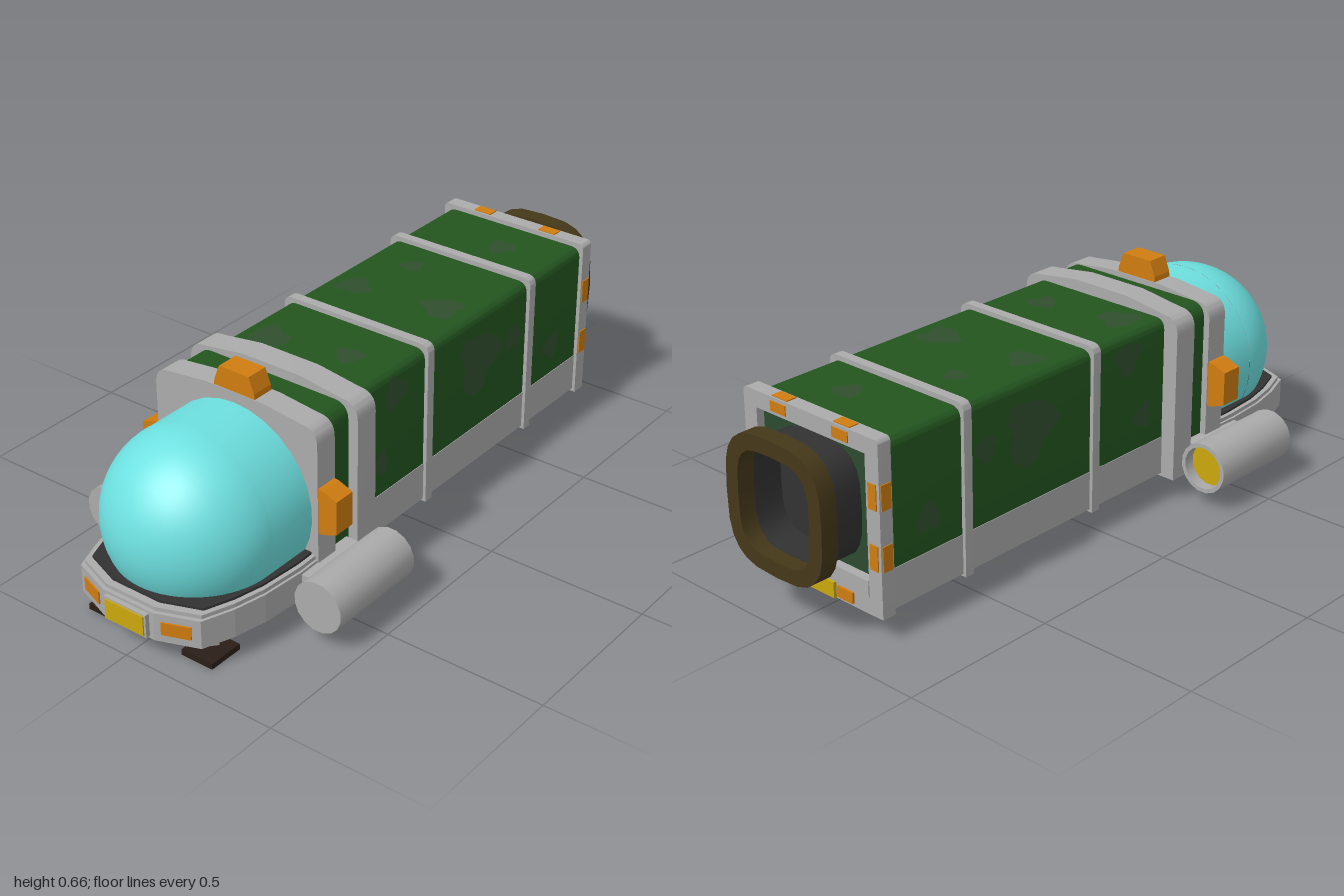
import * as THREE from 'three';
import { toCreasedNormals } from 'three/addons/utils/BufferGeometryUtils.js';

const mat = (name, color, side = THREE.FrontSide) => {
  const m = new THREE.MeshStandardMaterial({ color, side });
  m.name = name;
  return m;
};

export function createModel() {
  const grey = mat('hull grey', 0xababab);
  const green = mat('cabin green', 0x23551f);
  const blotch = mat('camouflage patch', 0x304f2d, THREE.DoubleSide);
  const panelGreen = mat('rear panel green', 0x2b4a2f);
  const cyan = mat('canopy cyan', 0x6ee0e0);
  const orange = mat('lamp orange', 0xd07c10);
  const yellow = mat('lamp yellow', 0xcca80e);
  const brown = mat('rim brown', 0x453819);
  const dark = mat('duct dark', 0x323232);
  const foot = mat('foot brown', 0x2a1f17);

  const model = new THREE.Group();
  const add = (name, geo, material, x = 0, y = 0, z = 0) => {
    const m = new THREE.Mesh(geo, material);
    m.name = name;
    m.position.set(x, y, z);
    model.add(m);
    return m;
  };
  // box from minimum and maximum corners
  const box = (name, material, x0, x1, y0, y1, z0, z1) =>
    add(name, new THREE.BoxGeometry(x1 - x0, y1 - y0, z1 - z0), material,
      (x0 + x1) / 2, (y0 + y1) / 2, (z0 + z1) / 2);
  // cross-section in (z, y) swept along x
  const sweep = (name, material, shape, x0, x1) => {
    const g = new THREE.ExtrudeGeometry(shape, { depth: x1 - x0, bevelEnabled: false, curveSegments: 10 });
    g.rotateY(Math.PI / 2).translate(x0, 0, 0);
    return add(name, toCreasedNormals(g, 0.6), material);
  };
  // straight-sided section with rounded shoulders and an optional raised crown
  const section = (w, y0, y1, r, crown = 0) => {
    const s = new THREE.Shape();
    const top = y1 - crown;
    s.moveTo(-w, y0);
    s.lineTo(w, y0);
    s.lineTo(w, top - r);
    s.quadraticCurveTo(w, top, w - r, top);
    if (crown) { s.lineTo(0.1, y1); s.lineTo(-0.1, y1); }
    s.lineTo(-w + r, top);
    s.quadraticCurveTo(-w, top, -w, top - r);
    s.closePath();
    return s;
  };

  // cabin
  sweep('cabin', green, section(0.248, 0.19, 0.575, 0.035), -0.32, 0.83);
  box('cabinBase', grey, -0.32, 0.83, 0.08, 0.2, -0.25, 0.25);
  sweep('neck', green, section(0.265, 0.085, 0.58, 0.05), -0.47, -0.36);
  sweep('neckCollar', grey, section(0.297, 0.07, 0.61, 0.055, 0.02), -0.37, -0.29);
  sweep('canopyFrame', grey, section(0.285, 0.075, 0.597, 0.055, 0.015), -0.53, -0.455);
  for (const x of [0.005, 0.525]) sweep('rib', grey, section(0.26, 0.072, 0.59, 0.03), x, x + 0.03);

  // camouflage patches: irregular thin discs on the sides and roof
  const patch = (r, seed) => {
    const s = new THREE.Shape();
    for (let i = 0; i < 14; i++) {
      const a = (i / 14) * Math.PI * 2;
      const k = r * (0.85 + 0.17 * Math.sin(3 * a + seed) + 0.1 * Math.sin(5 * a + 2 * seed));
      if (i) s.lineTo(k * Math.cos(a), k * Math.sin(a));
      else s.moveTo(k * Math.cos(a), k * Math.sin(a));
    }
    return new THREE.ShapeGeometry(s);
  };
  const sidePatches = [[0.28, 0.42, 0.115], [-0.13, 0.5, 0.06], [0.46, 0.42, 0.045], [-0.2, 0.3, 0.045], [0.68, 0.3, 0.05]];
  sidePatches.forEach(([x, y, r], i) => {
    for (const s of [1, -1]) add('sidePatch', patch(r, i + s), blotch, x, y, s * 0.2495);
  });
  [[-0.2, -0.15, 0.07], [0.2, -0.15, 0.06], [0.41, -0.09, 0.04], [0.24, 0.14, 0.07], [-0.15, 0.1, 0.05], [0.68, 0.05, 0.05]]
    .forEach(([x, z, r], i) => { add('roofPatch', patch(r, i), blotch, x, 0.5765, z).rotation.x = -Math.PI / 2; });

  // rear frame and panel
  const rear = section(0.26, 0.07, 0.59, 0.015);
  rear.holes.push(new THREE.Path([[-0.21, 0.17], [-0.21, 0.54], [0.21, 0.54], [0.21, 0.17]]
    .map(p => new THREE.Vector2(...p))));
  sweep('rearFrame', grey, rear, 0.82, 0.865);
  box('rearPanel', panelGreen, 0.825, 0.84, 0.165, 0.545, -0.215, 0.215);
  box('rearSill', grey, 0.83, 0.868, 0.12, 0.17, -0.21, 0.21);
  for (const s of [1, -1]) {
    const z = (a, b) => (s > 0 ? [a, b] : [-b, -a]);
    for (const y of [0.21, 0.388]) {
      box('rearSideLamp', orange, 0.862, 0.868, y, y + 0.075, ...z(0.22, 0.25));
      box('sideLamp', orange, 0.826, 0.86, y, y + 0.075, ...z(0.257, 0.263));
    }
    box('rearTopLamp', orange, 0.862, 0.868, 0.55, 0.58, ...z(0.09, 0.15));
    box('roofLamp', orange, 0.826, 0.86, 0.586, 0.593, ...z(0.09, 0.15));
    box('rearLowLamp', orange, 0.862, 0.872, 0.08, 0.113, ...z(0.09, 0.15));
  }
  box('rearPlate', yellow, 0.862, 0.875, 0.072, 0.12, -0.08, 0.08);

  // docking duct: hollow squarish tube with a thick rim
  const squircle = (Type, w, h, e = 0.62, n = 24) => {
    const f = v => Math.sign(v) * Math.pow(Math.abs(v), e);
    const pts = [];
    for (let i = 0; i < n; i++) {
      const a = (i / n) * Math.PI * 2;
      pts.push(new THREE.Vector2(w * f(Math.cos(a)), 0.355 + h * f(Math.sin(a))));
    }
    return new Type(pts);
  };
  const hollow = (w, h, wi, hi) => {
    const s = squircle(THREE.Shape, w, h);
    s.holes.push(squircle(THREE.Path, wi, hi, 0.55));
    return s;
  };
  sweep('duct', dark, hollow(0.165, 0.17, 0.142, 0.152), 0.84, 0.95);
  sweep('ductBack', dark, squircle(THREE.Shape, 0.15, 0.16), 0.84, 0.85);
  sweep('ductRim', brown, hollow(0.187, 0.2, 0.14, 0.153), 0.945, 1.0);

  // canopy: half ball continued by a straight barrel, cut flat below
  const R = 0.265, cy = 0.3, drop = 0.12;
  add('canopyNose', new THREE.SphereGeometry(R, 32, 24, -Math.PI / 2, Math.PI, 0, Math.acos(-drop / R)), cyan, -0.695, cy, 0);
  const cut = Math.asin(drop / R);
  const barrel = new THREE.Shape();
  barrel.absarc(0, cy, R, -cut, Math.PI + cut, false);
  barrel.closePath();
  const barrelMesh = sweep('canopyBarrel', cyan, barrel, -0.695, -0.525);
  barrelMesh.geometry = toCreasedNormals(barrelMesh.geometry, 0.7);

  // nose deck with a hollow underside
  const half = [[-0.46, 0.28], [-0.6, 0.283], [-0.74, 0.272], [-0.84, 0.25], [-0.935, 0.215], [-0.982, 0.09]];
  const outline = (Type, k) => new Type([...half, ...half.map(([x, z]) => [x, -z]).reverse()]
    .map(([x, z]) => new THREE.Vector2(-0.5 + (x + 0.5) * k, z * k)));
  const deck = (name, material, shape, y0, y1) => {
    const g = new THREE.ExtrudeGeometry(shape, { depth: y1 - y0, bevelEnabled: false });
    add(name, g.rotateX(Math.PI / 2).translate(0, y1, 0), material);
  };
  const skirt = outline(THREE.Shape, 1);
  skirt.holes.push(outline(THREE.Path, 0.9));
  deck('noseSkirt', grey, skirt, 0.08, 0.168);
  deck('noseDeck', grey, outline(THREE.Shape, 0.975), 0.11, 0.18);
  deck('canopySeal', dark, outline(THREE.Shape, 0.93), 0.17, 0.187);
  box('noseBlock', grey, -0.996, -0.935, 0.088, 0.16, -0.075, 0.075);
  box('nosePlate', yellow, -1.0, -0.993, 0.093, 0.155, -0.068, 0.068);
  for (const s of [1, -1]) {
    const lamp = add('noseLamp', new THREE.BoxGeometry(0.009, 0.04, 0.085), orange, -0.9595, 0.125, s * 0.15);
    lamp.rotation.y = s * 0.36;
  }

  // tapered marker lamps on the canopy frame
  const marker = (angle, x, y, z) => {
    const s = new THREE.Shape([[-0.073, 0], [0.073, 0], [0.07, 0.03], [0.052, 0.077], [-0.052, 0.077], [-0.07, 0.03]]
      .map(p => new THREE.Vector2(...p)));
    const g = new THREE.ExtrudeGeometry(s, { depth: 0.07, bevelEnabled: false });
    g.rotateY(Math.PI / 2).translate(-0.035, 0, 0);
    add('markerLamp', g, orange, x, y, z).rotation.x = angle;
  };
  marker(0, -0.493, 0.583, 0);
  marker(Math.PI / 2, -0.493, 0.327, 0.27);
  marker(-Math.PI / 2, -0.493, 0.327, -0.27);

  // engines: closed in front, open behind with a glowing disc
  const profile = [[0, 0], [0.079, 0], [0.079, 0.33], [0.066, 0.33], [0.066, 0.29]]
    .map(p => new THREE.Vector2(...p));
  for (const s of [1, -1]) {
    const pod = toCreasedNormals(new THREE.LatheGeometry(profile, 16, Math.PI / 16), 0.6);
    pod.rotateZ(-Math.PI / 2);
    add('enginePod', pod, grey, -0.655, 0.125, s * 0.38);
    const glow = new THREE.CircleGeometry(0.067, 16, Math.PI / 16).rotateY(Math.PI / 2);
    add('engineGlow', glow, yellow, -0.36, 0.125, s * 0.38);
    const z = s > 0 ? [0.26, 0.32] : [-0.32, -0.26];
    box('engineMount', grey, -0.6, -0.38, 0.09, 0.16, ...z);
  }

  // landing gear: three splayed nose legs and one rear post
  const hub = new THREE.Vector3(-0.7, 0.065, 0);
  add('gearHub', new THREE.CylinderGeometry(0.06, 0.045, 0.07, 8), grey, -0.7, 0.08, 0);
  for (const [x, z] of [[-0.85, 0.17], [-0.85, -0.17], [-0.48, 0]]) {
    const end = new THREE.Vector3(x, 0.022, z);
    const leg = add('noseLeg', new THREE.BoxGeometry(0.045, 0.022, hub.distanceTo(end)), grey);
    leg.position.copy(hub).lerp(end, 0.5);
    leg.lookAt(end);
    box('noseFoot', foot, x - 0.058, x + 0.055, 0, 0.018, z - 0.054, z + 0.054);
  }
  box('rearPost', grey, 0.267, 0.293, 0.018, 0.085, -0.07, 0.07);
  box('rearFoot', foot, 0.2, 0.362, 0, 0.02, -0.12, 0.12);

  return model;
}
